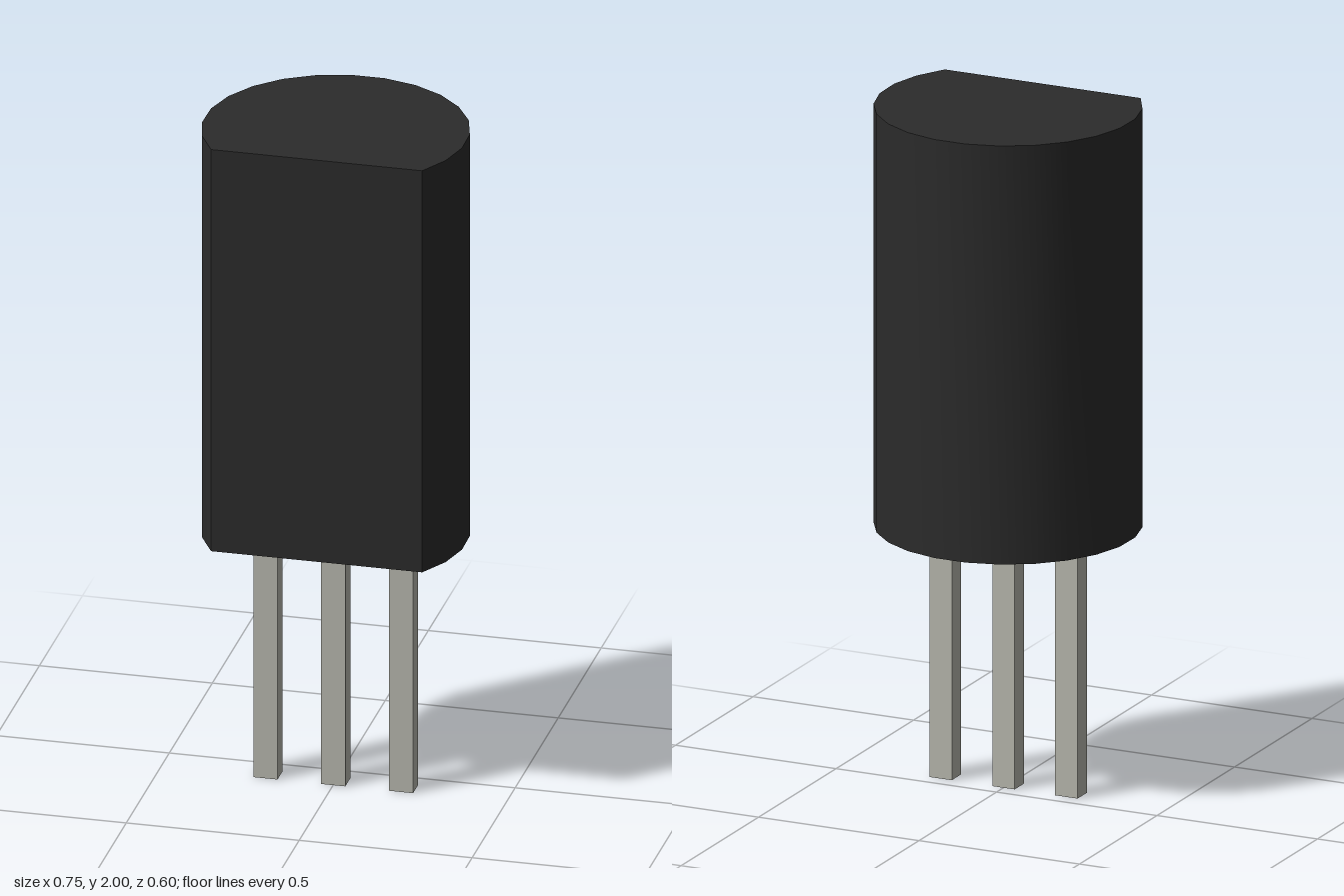
import * as THREE from 'three';
import { toCreasedNormals } from 'three/addons/utils/BufferGeometryUtils.js';

export function createModel() {
  const model = new THREE.Group();
  model.name = 'transistor';
  const plastic = new THREE.MeshStandardMaterial({ color: 0x2b2b2b });
  const metal = new THREE.MeshStandardMaterial({ color: 0xb8b8ae });

  const bottom = 0.768, height = 2 - bottom;
  const radius = 0.378, centreZ = 0.075, sides = 17;

  // D-shaped case: an arc of 17 sides closed by the flat front
  const start = -Math.asin((0.298 - centreZ) / radius);
  const sweep = Math.PI - 2 * start;
  const outline = [];
  for (let i = 0; i <= sides; i++) {
    const a = start + (sweep * i) / sides;
    outline.push(new THREE.Vector2(radius * Math.cos(a), radius * Math.sin(a) - centreZ));
  }
  const caseGeometry = new THREE.ExtrudeGeometry(new THREE.Shape(outline), {
    depth: height, bevelEnabled: false,
  });
  caseGeometry.rotateX(-Math.PI / 2);
  const body = new THREE.Mesh(toCreasedNormals(caseGeometry, Math.PI / 6), plastic);
  body.name = 'case';
  body.position.y = bottom;
  model.add(body);

  // Three square legs
  const legGeometry = new THREE.BoxGeometry(0.07, bottom, 0.06);
  ['rightLeg', 'middleLeg', 'leftLeg'].forEach((name, i) => {
    const leg = new THREE.Mesh(legGeometry, metal);
    leg.name = name;
    leg.position.set((i - 1) * 0.196, bottom / 2, centreZ);
    model.add(leg);
  });

  return model;
}
